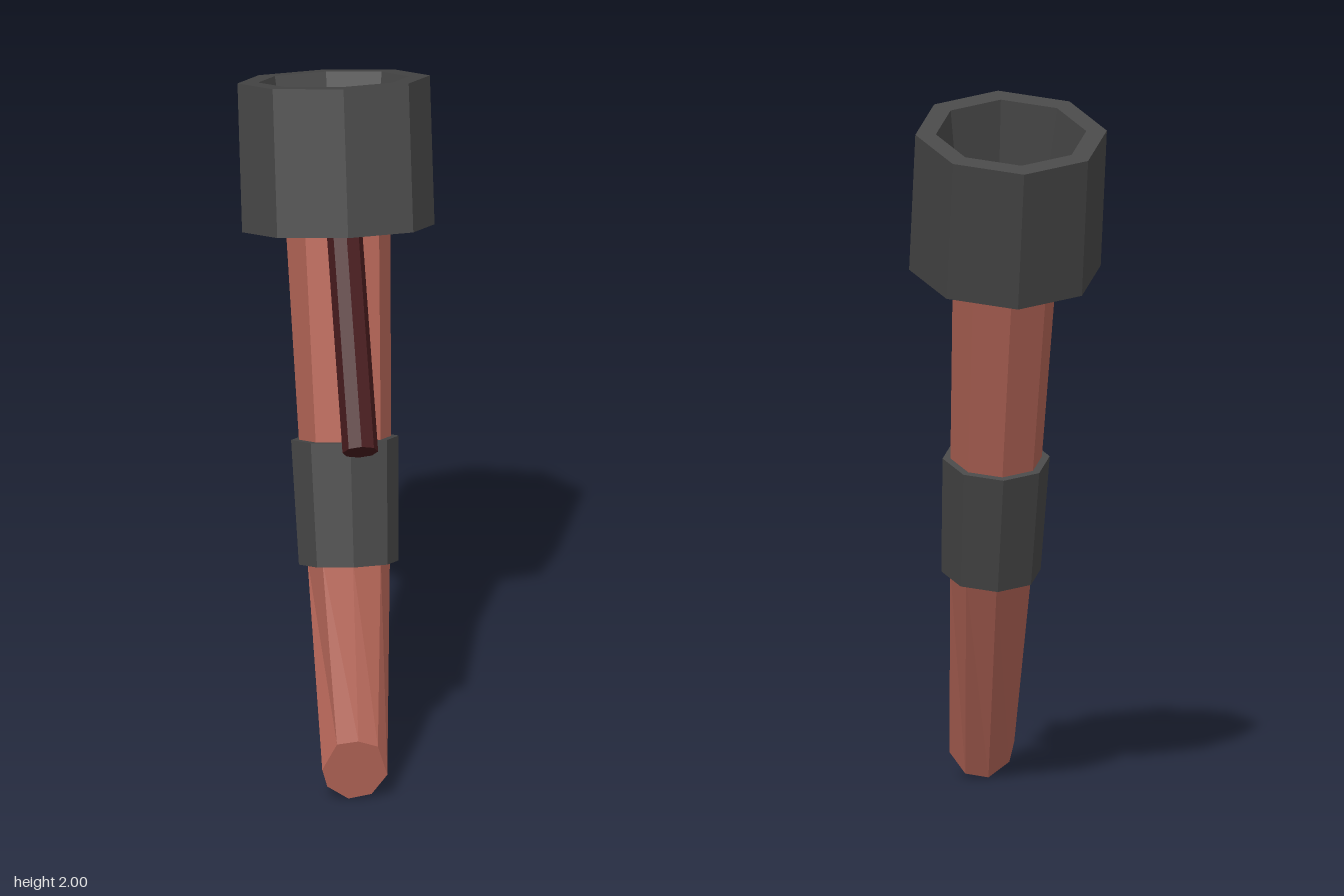
import * as THREE from 'three';

const SIDES = 8;
const mat = (color) => new THREE.MeshStandardMaterial({ color, flatShading: true });

function addMesh(parent, name, geometry, material) {
  const mesh = new THREE.Mesh(geometry, material);
  mesh.name = name;
  parent.add(mesh);
  return mesh;
}

// Tapered octagonal rod between two heights on the local y axis
function rod(rTop, rBottom, y0, y1) {
  return new THREE.CylinderGeometry(rTop, rBottom, y1 - y0, SIDES).translate(0, (y0 + y1) / 2, 0);
}

// Joins an upper ring to a lower ring and closes the lower end
function loftToTip(upper, lower) {
  const centre = lower.reduce((c, p) => c.add(p), new THREE.Vector3()).divideScalar(SIDES);
  const points = [];
  for (let k = 0; k < SIDES; k++) {
    const n = (k + 1) % SIDES;
    points.push(upper[k], lower[k], lower[n], upper[k], lower[n], upper[n], centre, lower[n], lower[k]);
  }
  const geometry = new THREE.BufferGeometry().setFromPoints(points);
  geometry.computeVertexNormals();
  return geometry;
}

export function createModel() {
  const model = new THREE.Group();
  model.name = 'pipe';
  const charcoal = mat(0x484848);
  const wood = mat(0xb46557);
  const darkWood = mat(0x451a1c);

  // Leaning body, with its origin at the centre of the bowl's underside
  const body = new THREE.Group();
  body.name = 'body';
  body.position.set(0, 1.52, -0.1125);
  body.rotation.x = -THREE.MathUtils.degToRad(17);
  model.add(body);

  // Hollow bowl
  const profile = [[0, 0], [0.27, 0], [0.27, 0.418], [0.212, 0.418], [0.165, 0.118], [0, 0.118]]
    .map(([r, y]) => new THREE.Vector2(r, y));
  addMesh(body, 'bowl', new THREE.LatheGeometry(profile, SIDES), charcoal);

  // Upper stem and the band round it
  addMesh(body, 'upperStem', rod(0.148, 0.128, -0.62, 0.04), wood);
  addMesh(body, 'band', rod(0.151, 0.14, -0.938, -0.588), charcoal);

  // Lower stem, flattening to a slanted, slightly twisted tip
  body.updateMatrix();
  const upper = [];
  for (let k = 0; k < SIDES; k++) {
    const a = (k / SIDES) * Math.PI * 2;
    upper.push(new THREE.Vector3(0.116 * Math.sin(a), -0.92, 0.116 * Math.cos(a)).applyMatrix4(body.matrix));
  }
  const tip = [
    [0, 0.187], [0.055, 0.168], [0.083, 0.075], [0.04, 0.015],
    [-0.025, 0.003], [-0.085, 0.045], [-0.1, 0.1], [-0.06, 0.18],
  ].map(([x, y]) => new THREE.Vector3(x, y, 0.385 + 0.16 * y));
  addMesh(model, 'lowerStem', loftToTip(upper, tip), wood);

  // Slim side peg, running up into the bowl's underside
  const peg = addMesh(model, 'peg', rod(0.05, 0.05, 0, 0.71), darkWood);
  peg.position.set(0, 1.085, 0.465);
  peg.rotation.x = -THREE.MathUtils.degToRad(40.2);

  return model;
}
